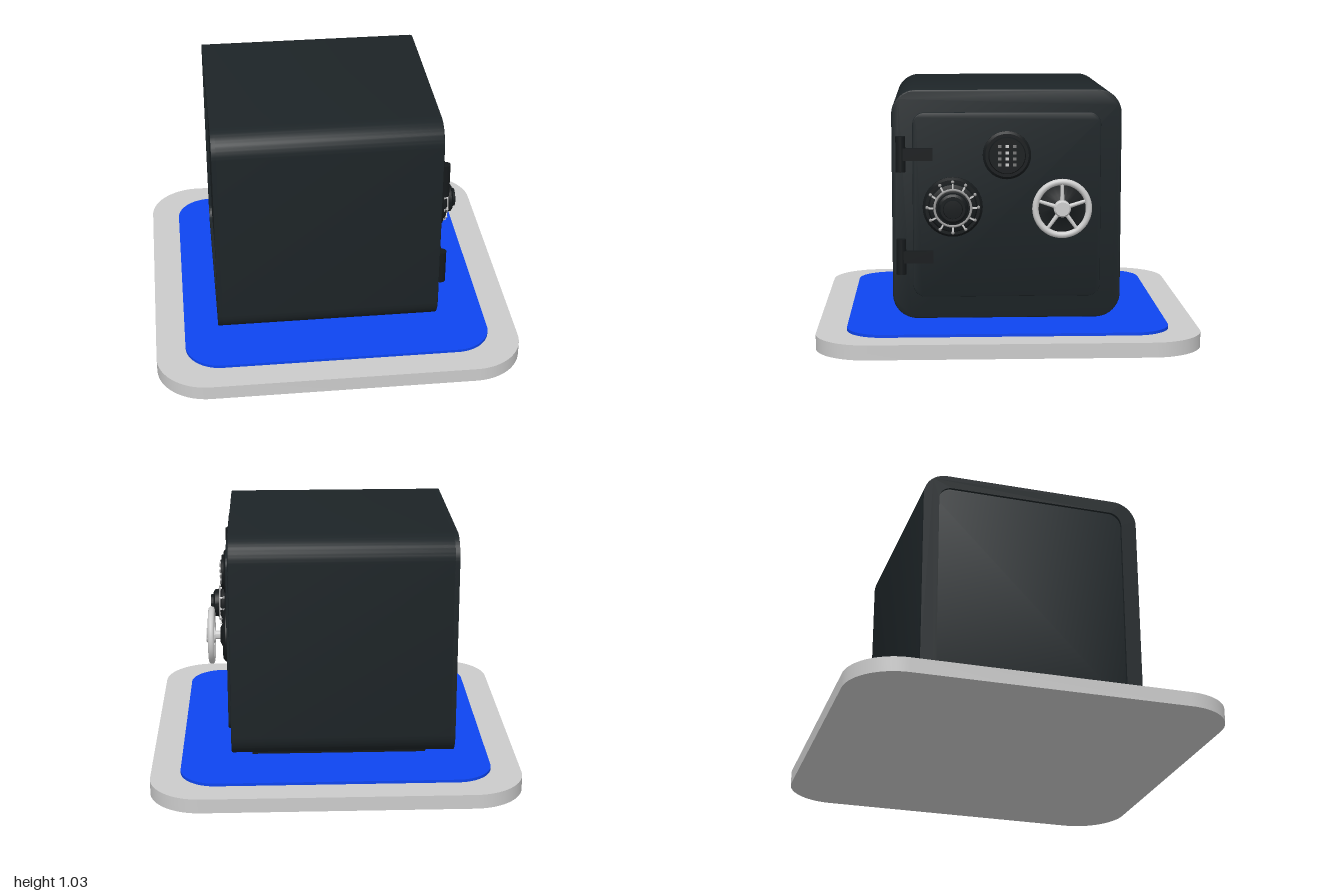
import * as THREE from 'three';
import { toCreasedNormals } from 'three/addons/utils/BufferGeometryUtils.js';

const mat = (color) => new THREE.MeshStandardMaterial({ color });

// Rounded rectangle centred on the origin, half sizes w and h
function roundedRect(w, h, r, Type = THREE.Shape) {
  const s = new Type();
  s.absarc(w - r, h - r, r, 0, Math.PI / 2);
  s.absarc(-w + r, h - r, r, Math.PI / 2, Math.PI);
  s.absarc(-w + r, -h + r, r, Math.PI, Math.PI * 1.5);
  s.absarc(w - r, -h + r, r, Math.PI * 1.5, Math.PI * 2);
  s.closePath();
  return s;
}

// Extrusion filling z0..z1, with an optional small bevel inside the outline
function slab(shape, z0, z1, bevel = 0) {
  const g = new THREE.ExtrudeGeometry(shape, {
    depth: z1 - z0 - 2 * bevel, curveSegments: 12,
    bevelEnabled: bevel > 0, bevelSize: bevel, bevelThickness: bevel,
    bevelOffset: -bevel, bevelSegments: 2,
  });
  g.translate(0, 0, z0 + bevel);
  return toCreasedNormals(g, 0.6);
}

function add(parent, name, geometry, material, x = 0, y = 0, z = 0) {
  const m = new THREE.Mesh(geometry, material);
  m.name = name;
  m.position.set(x, y, z);
  parent.add(m);
  return m;
}

// Turned part whose axis points out of the door; profile is [radius, height]
function turned(profile) {
  const g = new THREE.LatheGeometry(profile.map(([r, h]) => new THREE.Vector2(r, h)), 40);
  g.rotateX(Math.PI / 2);
  return toCreasedNormals(g, 0.5);
}

function fitting(parent, name, x, y) {
  const g = new THREE.Group();
  g.name = name;
  g.position.set(x, y, 0.462);
  parent.add(g);
  return g;
}

export function createModel() {
  const model = new THREE.Group();
  const grey = mat(0xcccccc), blue = mat(0x0d45f0), dark = mat(0x1d2427), black = mat(0x15191b);

  // Everything is built square-on, then turned so the door faces +x, -z
  const turn = new THREE.Group();
  turn.name = 'turnedAssembly';
  turn.rotation.y = Math.PI * 0.75;
  model.add(turn);

  // Base plate and mat
  const plate = slab(roundedRect(0.777, 0.763, 0.215), 0, 0.06);
  add(turn, 'basePlate', plate.rotateX(-Math.PI / 2), grey);
  const top = slab(roundedRect(0.655, 0.641, 0.15), 0.06, 0.072);
  add(turn, 'mat', top.rotateX(-Math.PI / 2), blue);

  const safe = new THREE.Group();
  safe.name = 'safe';
  safe.position.set(-0.003, 0.56, -0.018);
  turn.add(safe);

  // Body, shallow framed back and foot
  add(safe, 'body', slab(roundedRect(0.466, 0.47, 0.1), -0.468, 0.45, 0.006), dark);
  const frame = roundedRect(0.466, 0.47, 0.1);
  frame.holes.push(roundedRect(0.4, 0.415, 0.055, THREE.Path));
  add(safe, 'backFrame', slab(frame, -0.48, -0.46), dark);
  add(safe, 'foot', new THREE.BoxGeometry(0.73, 0.03, 0.73), black, 0, -0.477, 0);

  // Door panel
  add(safe, 'door', slab(roundedRect(0.382, 0.378, 0.05), 0.44, 0.462, 0.004), dark);

  // Hinges
  for (const y of [0.21, -0.21]) {
    add(safe, 'hingeBarrel', new THREE.CylinderGeometry(0.02, 0.02, 0.145, 16), black, -0.43, y, 0.462);
    add(safe, 'hingeStrap', new THREE.BoxGeometry(0.13, 0.05, 0.022), black, -0.365, y, 0.468);
  }

  // Keypad
  const keypad = fitting(safe, 'keypad', 0, 0.205);
  add(keypad, 'keypadHousing', turned([[0.098, -0.01], [0.098, 0.008], [0.088, 0.016],
    [0.076, 0.016], [0.072, 0.026], [0, 0.026]]), black);
  const key = new THREE.BoxGeometry(0.013, 0.011, 0.01);
  for (let i = 0; i < 12; i++) {
    add(keypad, 'key', key, i % 3 === 1 ? grey : mat(0x777777),
      ((i % 3) - 1) * 0.03, (Math.floor(i / 3) - 1.5) * 0.025, 0.029);
  }

  // Combination dial with marks and studs around the knob
  const dial = fitting(safe, 'combinationDial', -0.22, -0.005);
  add(dial, 'dialBase', turned([[0.122, -0.01], [0.122, 0.01], [0.112, 0.022],
    [0.1, 0.022], [0.094, 0.036], [0.064, 0.044], [0.06, 0.044]]), black);
  add(dial, 'dialKnob', turned([[0.064, 0.03], [0.06, 0.065], [0.05, 0.072],
    [0.04, 0.072], [0.037, 0.084], [0, 0.086]]), black);
  add(dial, 'dialRing', new THREE.TorusGeometry(0.074, 0.005, 8, 40), mat(0x999999), 0, 0, 0.043);
  const tick = new THREE.BoxGeometry(0.018, 0.007, 0.012);
  const stud = new THREE.SphereGeometry(0.007, 10, 8);
  for (let i = 0; i < 12; i++) {
    const a = (i * Math.PI) / 6;
    const c = Math.cos(a), s = Math.sin(a);
    add(dial, 'dialTick', tick, grey, c * 0.088, s * 0.088, 0.037).rotation.z = a;
    add(dial, 'dialStud', stud, mat(0x999999), c * 0.104, s * 0.104, 0.023);
  }

  // Spoked handwheel
  const wheel = fitting(safe, 'handwheel', 0.22, -0.005);
  add(wheel, 'wheelPlate', turned([[0.112, -0.01], [0.112, 0.008], [0.1, 0.018],
    [0.05, 0.02], [0.03, 0.03], [0, 0.03]]), black);
  add(wheel, 'wheelShaft', turned([[0.018, 0.02], [0.018, 0.06]]), grey);
  add(wheel, 'wheelRim', new THREE.TorusGeometry(0.108, 0.013, 12, 48), grey, 0, 0, 0.066);
  add(wheel, 'wheelHub', turned([[0, 0.05], [0.03, 0.05], [0.034, 0.058],
    [0.034, 0.08], [0.028, 0.088], [0, 0.088]]), grey);
  const spoke = new THREE.CylinderGeometry(0.007, 0.009, 0.085, 10).translate(0, 0.063, 0);
  for (let i = 0; i < 5; i++) {
    add(wheel, 'wheelSpoke', spoke, grey, 0, 0, 0.067).rotation.z = (i * Math.PI * 2) / 5;
  }

  return model;
}
